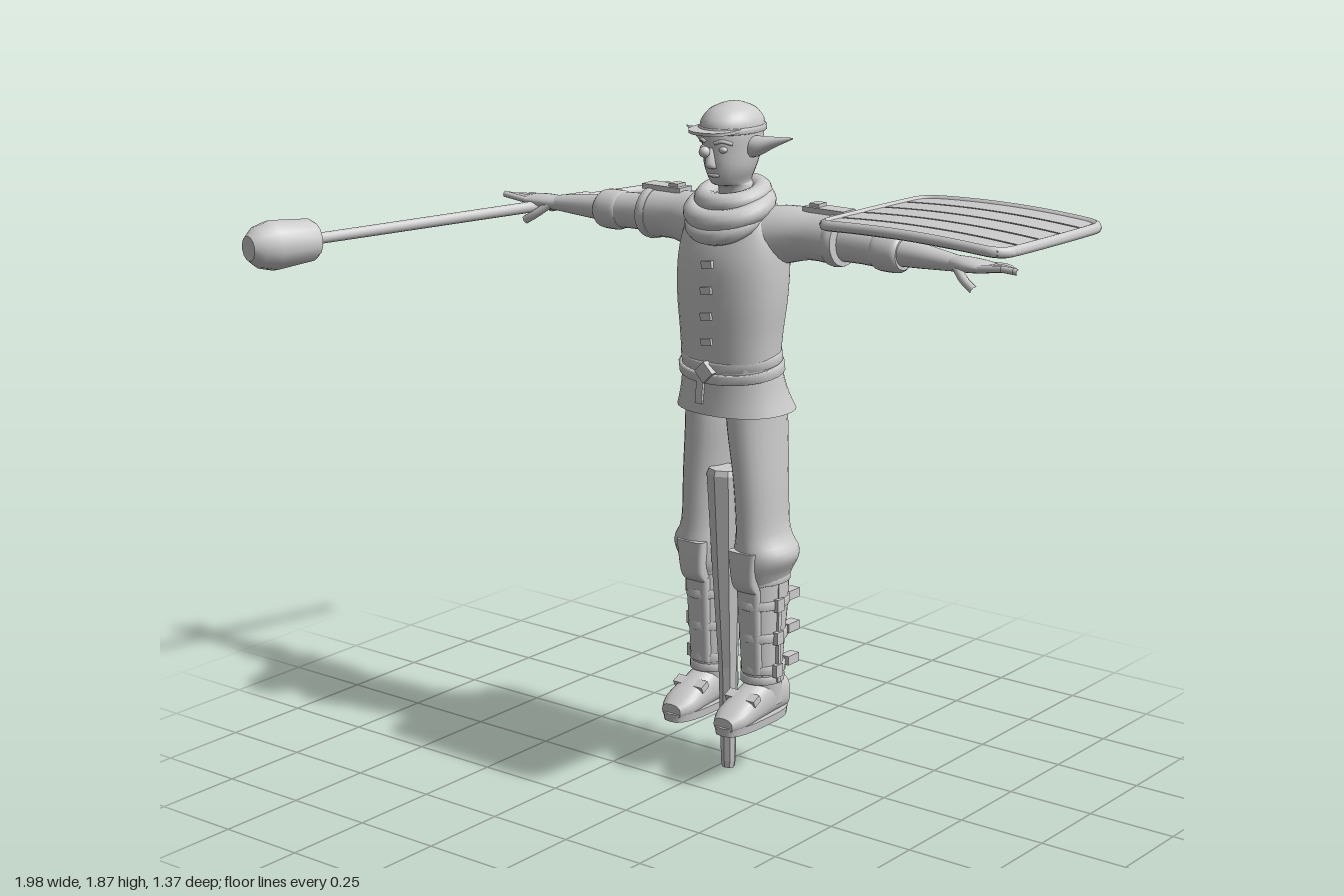
import * as THREE from 'three';

const clay = new THREE.MeshStandardMaterial({ color: 0xcccccc });
clay.name = 'clay grey';

function mesh(parent, name, geometry, x = 0, y = 0, z = 0) {
  const m = new THREE.Mesh(geometry, clay);
  m.name = name;
  m.position.set(x, y, z);
  parent.add(m);
  return m;
}

// Skin over cross-sections [s, ca, cb, ra, rb] along axis k (0 x, 1 y, 2 z).
// a is the axis before k and b the one after it; n squares off the ellipse.
function loft(k, sections, { seg = 24, sub = 4, n = 2, flat = false } = {}) {
  const rows = [], pos = [], idx = [], a = (k + 2) % 3, b = (k + 1) % 3;
  const at = i => sections[Math.min(Math.max(i, 0), sections.length - 1)];
  for (let i = 0; i < sections.length - 1; i++) {
    for (let j = 0; j < sub; j++) {
      const t = j / sub;
      rows.push(at(i).map((p1, c) => {
        const p0 = at(i - 1)[c], p2 = at(i + 1)[c], p3 = at(i + 2)[c];
        return p1 + 0.5 * t * (p2 - p0 + t * (2 * p0 - 5 * p1 + 4 * p2 - p3 + t * (3 * (p1 - p2) + p3 - p0)));
      }));
    }
  }
  rows.push(at(sections.length));
  const round = v => Math.sign(v) * Math.abs(v) ** (2 / n);
  const put = (s, va, vb) => {
    const p = [0, 0, 0];
    p[k] = s; p[a] = va; p[b] = vb;
    pos.push(...p);
  };
  const ring = r => {
    for (let j = 0; j < seg; j++) {
      const t = j / seg * Math.PI * 2;
      put(r[0], r[1] + r[3] * round(Math.cos(t)), r[2] + r[4] * round(Math.sin(t)));
    }
  };
  const flip = at(sections.length)[0] < sections[0][0];
  const tri = (p, q, r) => idx.push(...(flip ? [p, r, q] : [p, q, r]));
  rows.forEach(ring);
  for (let i = 0; i < rows.length - 1; i++) {
    for (let j = 0; j < seg; j++) {
      const p = i * seg + j, q = i * seg + (j + 1) % seg;
      tri(p, p + seg, q);
      tri(q, p + seg, q + seg);
    }
  }
  for (const end of [0, 1]) {
    const r = end ? rows[rows.length - 1] : rows[0], base = pos.length / 3;
    ring(r);
    put(r[0], r[1], r[2]);
    for (let j = 0; j < seg; j++) {
      const p = base + j, q = base + (j + 1) % seg;
      if (end) tri(base + seg, q, p); else tri(base + seg, p, q);
    }
  }
  let g = new THREE.BufferGeometry();
  g.setAttribute('position', new THREE.Float32BufferAttribute(pos, 3));
  g.setIndex(idx);
  if (flat) g = g.toNonIndexed();
  g.computeVertexNormals();
  return g;
}

const box = (w, h, d) => new THREE.BoxGeometry(w, h, d);
const band = (y, h, cx, cz, rx, rz) => loft(1, [[y - h, cx, cz, rx - 0.006, rz - 0.006], [y - h * 0.8, cx, cz, rx, rz],
  [y + h * 0.8, cx, cz, rx, rz], [y + h, cx, cz, rx - 0.006, rz - 0.006]], { sub: 1, seg: 28 });
const rod = (pts, r) => new THREE.TubeGeometry(new THREE.CatmullRomCurve3(pts.map(p => new THREE.Vector3(...p))), 8, r, 8);

function buildHead(body) {
  mesh(body, 'head', loft(1, [[1.58, 0, -0.205, 0.05, 0.052], [1.645, 0, -0.2, 0.045, 0.055], [1.66, 0, -0.178, 0.042, 0.07],
    [1.70, 0, -0.175, 0.06, 0.083], [1.75, 0, -0.182, 0.068, 0.096], [1.80, 0, -0.182, 0.07, 0.098], [1.84, 0, -0.182, 0.055, 0.08]]));
  mesh(body, 'cap', loft(1, [[1.796, 0, -0.181, 0.077, 0.102], [1.825, 0, -0.181, 0.074, 0.098],
    [1.852, 0, -0.181, 0.055, 0.073], [1.867, 0, -0.181, 0.025, 0.035], [1.872, 0, -0.181, 0.005, 0.008]]));
  mesh(body, 'capBand', band(1.802, 0.009, 0, -0.181, 0.081, 0.106));
  const brim = mesh(body, 'capBrim', loft(1, [[-0.004, 0, 0, 0.07, 0.075], [0.004, 0, 0, 0.07, 0.075]], { sub: 1, n: 2.4 }), 0, 1.805, -0.115);
  brim.rotation.x = 0.06;
  mesh(body, 'nose', loft(1, [[1.705, 0, -0.092, 0.014, 0.012], [1.718, 0, -0.086, 0.014, 0.018], [1.76, 0, -0.09, 0.007, 0.01]], { seg: 12 }));
  mesh(body, 'noseBall', new THREE.SphereGeometry(0.015, 16, 12), 0, 1.752, -0.06);
  mesh(body, 'mouth', new THREE.SphereGeometry(0.02, 12, 8), 0, 1.685, -0.1).scale.set(1, 0.3, 0.4);
  for (const s of [-1, 1]) {
    mesh(body, 'eye', new THREE.SphereGeometry(0.013, 12, 8), s * 0.03, 1.755, -0.1).scale.set(1, 0.7, 0.8);
    mesh(body, 'brow', rod([[s * 0.013, 1.772, -0.086], [s * 0.033, 1.778, -0.092], [s * 0.052, 1.77, -0.113]], 0.005));
    mesh(body, 'ear', loft(0, [[s * 0.055, -0.18, 1.755, 0.024, 0.03], [s * 0.085, -0.19, 1.76, 0.028, 0.026],
      [s * 0.125, -0.2, 1.772, 0.016, 0.014], [s * 0.175, -0.21, 1.785, 0.002, 0.002]], { seg: 12 }));
  }
}

function buildTorso(body) {
  mesh(body, 'jacket', loft(1, [[1.15, 0, -0.178, 0.14, 0.1], [1.25, 0, -0.18, 0.147, 0.107], [1.35, 0, -0.184, 0.158, 0.114],
    [1.45, 0, -0.19, 0.16, 0.114], [1.53, 0, -0.2, 0.15, 0.1], [1.59, 0, -0.21, 0.115, 0.082], [1.625, 0, -0.21, 0.06, 0.06]], { seg: 32, n: 2.3 }));
  mesh(body, 'jacketSkirt', loft(1, [[1.04, 0, -0.205, 0.167, 0.138], [1.1, 0, -0.193, 0.15, 0.12], [1.19, 0, -0.18, 0.138, 0.103]], { seg: 32, n: 2.2 }));
  for (const [y, z] of [[1.24, -0.072], [1.31, -0.069], [1.38, -0.069], [1.45, -0.073]]) {
    mesh(body, 'jacketButton', box(0.034, 0.02, 0.012), 0, y, z).rotation.z = 0.15;
  }
  // Two belts, higher at the back
  for (const [y, r] of [[1.158, 0.006], [1.188, 0]]) {
    mesh(body, 'belt', band(0, 0.014, 0, 0, 0.15 + r, 0.113 + r), 0, y, -0.182).rotation.x = 0.17;
  }
  mesh(body, 'beltBuckle', box(0.042, 0.042, 0.02), 0, 1.16, -0.065).rotation.z = Math.PI / 4;
  mesh(body, 'beltTail', box(0.022, 0.08, 0.008), -0.02, 1.11, -0.068).rotation.x = -0.12;
  // Scarf folds, low in front
  for (const [y, z, R, t, tilt, depth] of [[1.625, -0.185, 0.075, 0.028, 0.2, 1.05], [1.595, -0.17, 0.096, 0.03, 0.3, 1.0], [1.57, -0.155, 0.088, 0.028, 0.5, 0.98]]) {
    const fold = mesh(body, 'scarfFold', new THREE.TorusGeometry(R, t, 12, 32), 0, y, z);
    fold.rotation.x = Math.PI / 2 + tilt;
    fold.scale.y = depth;
  }
}

function buildArm(body, s) {
  const arm = new THREE.Group();
  arm.name = s > 0 ? 'leftArm' : 'rightArm';
  body.add(arm);
  const along = list => loft(0, list.map(([x, ...r]) => [s * x, ...r]));
  mesh(arm, 'shortSleeve', along([[0.07, -0.21, 1.51, 0.085, 0.085], [0.15, -0.232, 1.525, 0.083, 0.078],
    [0.23, -0.24, 1.532, 0.074, 0.067], [0.31, -0.243, 1.53, 0.074, 0.07]]));
  mesh(arm, 'sleeveHem', along([[0.295, -0.243, 1.53, 0.076, 0.072], [0.31, -0.243, 1.53, 0.078, 0.074], [0.325, -0.243, 1.53, 0.074, 0.07]]));
  mesh(arm, 'shoulderStrap', box(0.13, 0.014, 0.055), s * 0.27, 1.602, -0.243);
  mesh(arm, 'shoulderBuckle', box(0.03, 0.012, 0.035), s * 0.235, 1.612, -0.243);
  mesh(arm, 'underSleeve', along([[0.28, -0.245, 1.525, 0.05, 0.054], [0.38, -0.25, 1.522, 0.05, 0.05], [0.46, -0.252, 1.518, 0.053, 0.05]]));
  mesh(arm, 'rolledCuff', along([[0.425, -0.252, 1.518, 0.052, 0.05], [0.44, -0.253, 1.517, 0.058, 0.055], [0.49, -0.254, 1.516, 0.057, 0.054], [0.505, -0.254, 1.516, 0.048, 0.045]]));
  mesh(arm, 'forearm', along([[0.48, -0.252, 1.518, 0.042, 0.038], [0.56, -0.25, 1.516, 0.037, 0.032], [0.67, -0.246, 1.512, 0.026, 0.021]]));
  mesh(arm, 'palm', along([[0.655, -0.246, 1.512, 0.026, 0.021], [0.7, -0.245, 1.513, 0.037, 0.02], [0.745, -0.247, 1.513, 0.041, 0.016], [0.775, -0.247, 1.512, 0.036, 0.01]]));
  for (let i = 0; i < 4; i++) {
    const z = -0.216 - i * 0.021, tip = [0.828, 0.845, 0.84, 0.82][i];
    mesh(arm, 'finger', rod([[s * 0.75, 1.513, z], [s * 0.8, 1.52 - i * 0.003, z - (i - 1.5) * 0.004], [s * tip, 1.524 - i * 0.008, z - (i - 1.5) * 0.006]], 0.009));
  }
  mesh(arm, 'thumb', rod([[s * 0.68, 1.507, -0.225], [s * 0.715, 1.48, -0.208], [s * 0.748, 1.46, -0.202]], 0.012));
}

function buildLeg(body, s) {
  const leg = new THREE.Group();
  leg.name = s > 0 ? 'leftLeg' : 'rightLeg';
  body.add(leg);
  const up = (list, o) => loft(1, list.map(([y, x, ...r]) => [y, s * x, ...r]), o);
  mesh(leg, 'trouserLeg', up([[0.55, 0.09, -0.212, 0.055, 0.08], [0.59, 0.092, -0.21, 0.07, 0.098], [0.645, 0.103, -0.208, 0.085, 0.1],
    [0.71, 0.094, -0.203, 0.064, 0.09], [0.85, 0.086, -0.203, 0.064, 0.094], [1.0, 0.071, -0.205, 0.07, 0.103], [1.1, 0.068, -0.2, 0.07, 0.1]]));
  mesh(leg, 'boot', up([[0.2, 0.09, -0.225, 0.045, 0.06], [0.28, 0.088, -0.212, 0.053, 0.058], [0.4, 0.088, -0.213, 0.057, 0.07],
    [0.5, 0.089, -0.215, 0.06, 0.08], [0.575, 0.09, -0.213, 0.062, 0.082]]));
  mesh(leg, 'bootTop', band(0.57, 0.012, s * 0.09, -0.213, 0.066, 0.086));
  mesh(leg, 'bootHem', band(0.28, 0.012, s * 0.088, -0.212, 0.059, 0.064));
  mesh(leg, 'kneePad', up([[0.54, 0.088, -0.145, 0.036, 0.015], [0.57, 0.088, -0.135, 0.038, 0.028], [0.66, 0.088, -0.12, 0.045, 0.018]], { n: 4 }));
  mesh(leg, 'shinGuard', up([[0.3, 0.088, -0.17, 0.034, 0.02], [0.55, 0.088, -0.15, 0.038, 0.02]], { n: 3 }));
  mesh(leg, 'sideSeam', box(0.01, 0.29, 0.012), s * 0.147, 0.42, -0.205);
  [0.5, 0.405, 0.31].forEach((y, i) => {
    const r = 0.064 - i * 0.002, d = 0.084 - i * 0.009;
    mesh(leg, 'bootStrap', band(y, 0.014, s * 0.089, -0.214, r, d));
    mesh(leg, 'strapBuckle', box(0.014, 0.036, 0.03), s * (0.089 + r), y, -0.2);
    mesh(leg, 'strapEnd', box(0.03, 0.026, 0.05), s * 0.115, y, -0.302);
  });
  mesh(leg, 'shoe', loft(2, [[-0.292, 0.215, s * 0.09, 0.05, 0.036], [-0.22, 0.228, s * 0.09, 0.062, 0.046], [-0.14, 0.212, s * 0.09, 0.05, 0.048],
    [-0.07, 0.195, s * 0.09, 0.034, 0.05], [-0.03, 0.185, s * 0.09, 0.02, 0.032]], { n: 2.4 }));
  mesh(leg, 'sole', up([[0.156, 0.09, -0.16, 0.05, 0.136], [0.18, 0.09, -0.16, 0.053, 0.139]], { sub: 1, n: 2.8 }));
  mesh(leg, 'shoeStrap', box(0.1, 0.02, 0.03), s * 0.09, 0.24, -0.12).rotation.x = 0.45;
}

function buildShield(root) {
  const shield = new THREE.Group();
  shield.name = 'plankShield';
  shield.position.set(0.703, 1.622, -0.24);
  shield.rotation.y = -0.04;
  root.add(shield);
  const bend = g => {
    const p = g.attributes.position;
    for (let i = 0; i < p.count; i++) p.setY(i, p.getY(i) - 0.14 * p.getX(i) ** 2);
    g.computeVertexNormals();
    return g;
  };
  mesh(shield, 'shieldBack', bend(loft(1, [[-0.014, 0, 0, 0.28, 0.23], [-0.004, 0, 0, 0.28, 0.23]], { sub: 1, seg: 64, n: 9 })));
  for (let i = -2; i <= 2; i++) {
    const w = Math.abs(i) === 2 ? 0.54 : 0.56;
    mesh(shield, 'plank', bend(new THREE.BoxGeometry(w, 0.014, 0.085, 14, 1, 1)), 0, 0, i * 0.093);
  }
  const pts = [], hx = 0.28, hz = 0.228, r = 0.045;
  for (const [sx, sz, a0] of [[1, 1, 0], [-1, 1, 1], [-1, -1, 2], [1, -1, 3]]) {
    for (let j = 0; j <= 4; j++) {
      const t = (a0 + j / 4) * Math.PI / 2;
      pts.push(new THREE.Vector3(sx * (hx - r) + r * Math.cos(t), 0, sz * (hz - r) + r * Math.sin(t)));
    }
  }
  mesh(shield, 'shieldRim', bend(new THREE.TubeGeometry(new THREE.CatmullRomCurve3(pts, true, 'centripetal'), 120, 0.014, 8, true)));
  mesh(shield, 'shieldGrip', box(0.115, 0.014, 0.04), -0.005, -0.046, 0);
}

function buildMallet(root) {
  const mallet = new THREE.Group();
  mallet.name = 'longMallet';
  mallet.position.set(-0.587, 1.5, -0.685);
  mallet.quaternion.setFromUnitVectors(new THREE.Vector3(0, 1, 0), new THREE.Vector3(-0.242, -0.005, 0.97).normalize());
  root.add(mallet);
  mesh(mallet, 'shaft', new THREE.CylinderGeometry(0.015, 0.016, 1.25, 12), 0, 0.625, 0);
  mesh(mallet, 'gripWrap', new THREE.CylinderGeometry(0.021, 0.021, 0.13, 12), 0, 0.36, 0);
  mesh(mallet, 'malletHead', loft(1, [[1.2, 0, 0, 0.048, 0.048], [1.215, 0, 0, 0.058, 0.058], [1.33, 0, 0, 0.068, 0.068],
    [1.375, 0, 0, 0.056, 0.056], [1.4, 0, 0, 0.034, 0.034]], { sub: 1, seg: 14 }));
}

export function createModel() {
  const root = new THREE.Group();
  root.name = 'figureOnPost';
  const body = new THREE.Group();
  body.name = 'figure';
  body.position.x = 0.025;
  root.add(body);
  buildHead(body);
  buildTorso(body);
  for (const s of [-1, 1]) {
    buildArm(body, s);
    buildLeg(body, s);
  }
  mesh(body, 'post', loft(1, [[0, 0, -0.174, 0.019, 0.017], [0.02, 0, -0.174, 0.022, 0.019], [0.3, 0, -0.172, 0.028, 0.026],
    [0.6, 0, -0.162, 0.041, 0.04], [0.86, 0, -0.155, 0.052, 0.05], [0.875, 0, -0.155, 0.046, 0.044]], { sub: 1, seg: 8, flat: true }));
  buildShield(root);
  buildMallet(root);
  return root;
}
